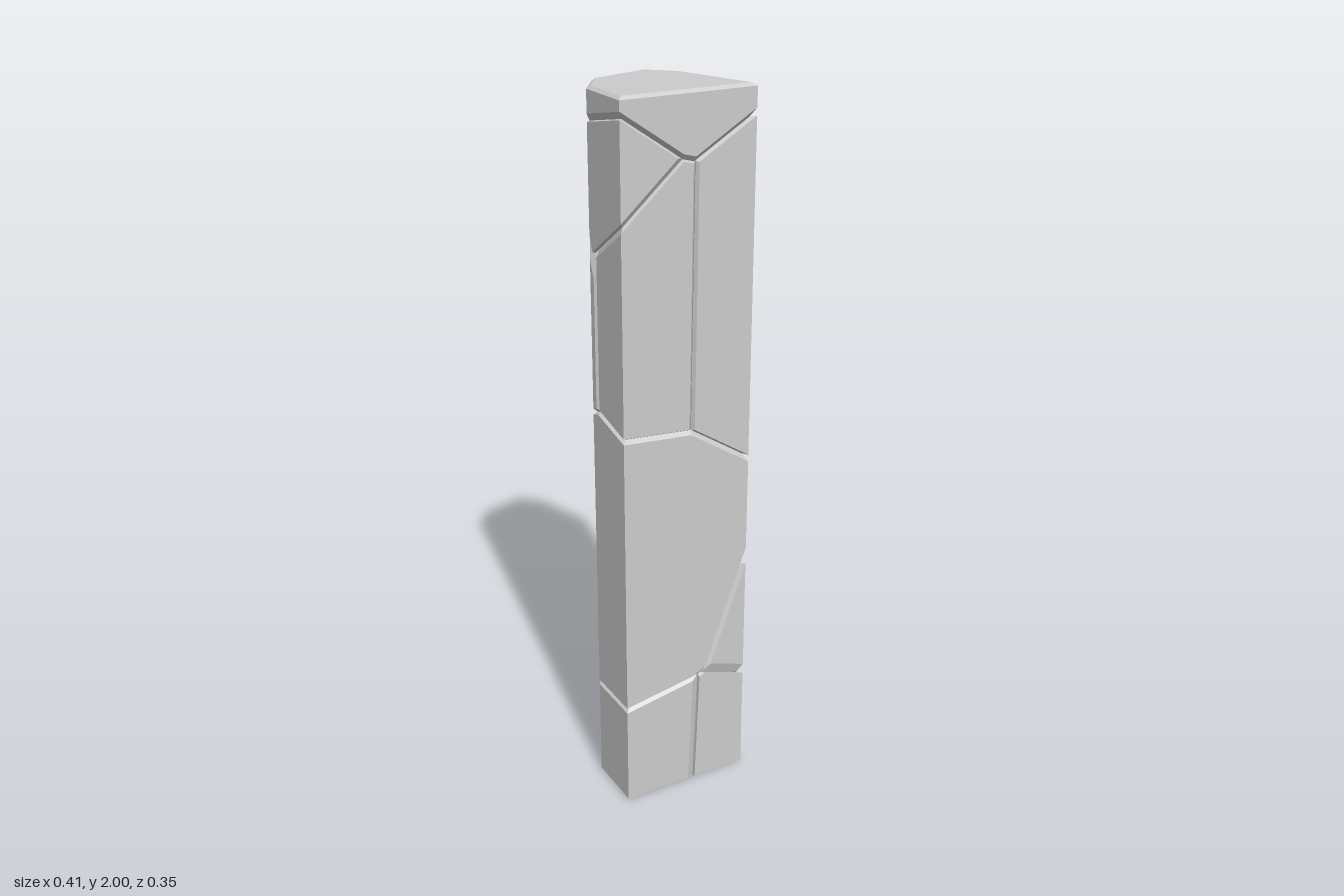
import * as THREE from 'three';
import { ConvexGeometry } from 'three/addons/geometries/ConvexGeometry.js';

const HEIGHT = 2;
const BEVEL = 0.008; // half width of a crack at the surface
const DEPTH = 0.01; // how far the bevel cuts in
const GAP = 0.0006; // half width of a crack at its bottom

// Column cross-section (x, z)
const OUTLINE = [
  [-0.012, -0.176], [0.072, -0.126], [0.203, 0.087],
  [-0.167, 0.172], [-0.205, 0.008], [-0.167, -0.09],
];

// Sloping cracks y = a x + b z + c: [stone above, stone below, a, b, c]
const SLOPES = [
  ['topCap', 'upperLeftWedge', -0.617, 0.346, 1.794],
  ['topCap', 'upperFrontStone', -0.17, 0.45, 1.78],
  ['topCap', 'upperSideStone', 0.657, 0.239, 1.776],
  ['topCap', 'upperBackStone', 0.09, -0.945, 1.806],
  ['upperLeftWedge', 'upperFrontStone', 1.02, 0.483, 1.775],
  ['upperLeftWedge', 'upperBackStone', 1.52, -3.167, 1.94],
  ['upperFrontStone', 'middleStone', -0.126, -0.213, 1.146],
  ['upperSideStone', 'middleStone', -0.705, -0.177, 1.159],
  ['upperBackStone', 'middleStone', -0.1675, 0.368, 1.118],
  ['middleStone', 'lowerSideWedge', 2.376, -1.836, 0.379],
  ['middleStone', 'baseFrontStone', 0.176, -0.043, 0.346],
  ['middleStone', 'baseSideStone', 0.624, 0.265, 0.2865],
  ['middleStone', 'baseBackStone', 0.416, -0.754, 0.317],
  ['lowerSideWedge', 'baseFrontStone', -1.523, 0.97, 0.357],
  ['lowerSideWedge', 'baseSideStone', 0.043, 1.668, 0.174],
  ['lowerSideWedge', 'baseBackStone', -1.26, 0.136, 0.261],
];

// Steep cracks n . p = d: [stone in front of n, stone behind, nx, ny, nz, d]
const STEEP = [
  ['upperSideStone', 'upperFrontStone', 0.579, -0.0056, -0.036, 0.0067],
  ['upperSideStone', 'upperBackStone', 0.5375, -0.0174, 0.545, 0.019],
  ['upperFrontStone', 'upperBackStone', -0.0415, 0, 0.581, 0.028],
  ['baseSideStone', 'baseFrontStone', 1, -0.033, 0.6026, 0.112],
  ['baseFrontStone', 'baseBackStone', -0.132, -0.139, 1, -0.111],
];

const CRACKS = [
  ...SLOPES.map(([up, down, a, b, c]) => [up, down, -a, 1, -b, c]),
  ...STEEP,
];

// Half-space n . p <= d with unit normal
function halfSpace(x, y, z, d) {
  const n = new THREE.Vector3(x, y, z);
  const length = n.length();
  return { n: n.divideScalar(length), d: d / length };
}

const SIDES = OUTLINE.map(([x, z], i) => {
  const [x2, z2] = OUTLINE[(i + 1) % OUTLINE.length];
  const nx = z2 - z, nz = x - x2;
  const d = nx * x + nz * z;
  return d > 0 ? halfSpace(nx, 0, nz, d) : halfSpace(-nx, 0, -nz, -d);
});
const CAPS = [halfSpace(0, 1, 0, HEIGHT), halfSpace(0, -1, 0, 0)];

const shrink = (planes, by) => planes.map(({ n, d }) => ({ n, d: d - by }));

// Corner points of the convex body bounded by the half-spaces
function corners(planes) {
  const points = [];
  const cross = new THREE.Vector3();
  for (let i = 0; i < planes.length; i++) {
    for (let j = i + 1; j < planes.length; j++) {
      for (let k = j + 1; k < planes.length; k++) {
        const [a, b, c] = [planes[i], planes[j], planes[k]];
        const det = a.n.dot(cross.crossVectors(b.n, c.n));
        if (Math.abs(det) < 1e-5) continue;
        const p = cross.clone().multiplyScalar(a.d)
          .addScaledVector(new THREE.Vector3().crossVectors(c.n, a.n), b.d)
          .addScaledVector(new THREE.Vector3().crossVectors(a.n, b.n), c.d)
          .divideScalar(det);
        const inside = planes.every(({ n, d }) => n.dot(p) <= d + 1e-6);
        if (inside && !points.some((q) => q.distanceTo(p) < 1e-4)) points.push(p);
      }
    }
  }
  return points;
}

// One stone: its outer skin stops short of each crack, its inner body reaches it
function stoneGeometry(name) {
  const cuts = [];
  for (const [front, back, x, y, z, d] of CRACKS) {
    if (front === name) cuts.push(halfSpace(-x, -y, -z, -d));
    if (back === name) cuts.push(halfSpace(x, y, z, d));
  }
  const skin = [...SIDES, ...shrink([...cuts, ...CAPS], BEVEL)];
  const body = [...shrink(SIDES, DEPTH), ...shrink(cuts, GAP), ...CAPS];
  return new ConvexGeometry([...corners(skin), ...corners(body)]);
}

export function createModel() {
  const group = new THREE.Group();
  group.name = 'crackedStoneColumn';
  const material = new THREE.MeshStandardMaterial({ color: 0xcccccc, flatShading: true });
  const names = new Set(CRACKS.flatMap(([front, back]) => [front, back]));
  for (const name of names) {
    const stone = new THREE.Mesh(stoneGeometry(name), material);
    stone.name = name;
    group.add(stone);
  }
  return group;
}
